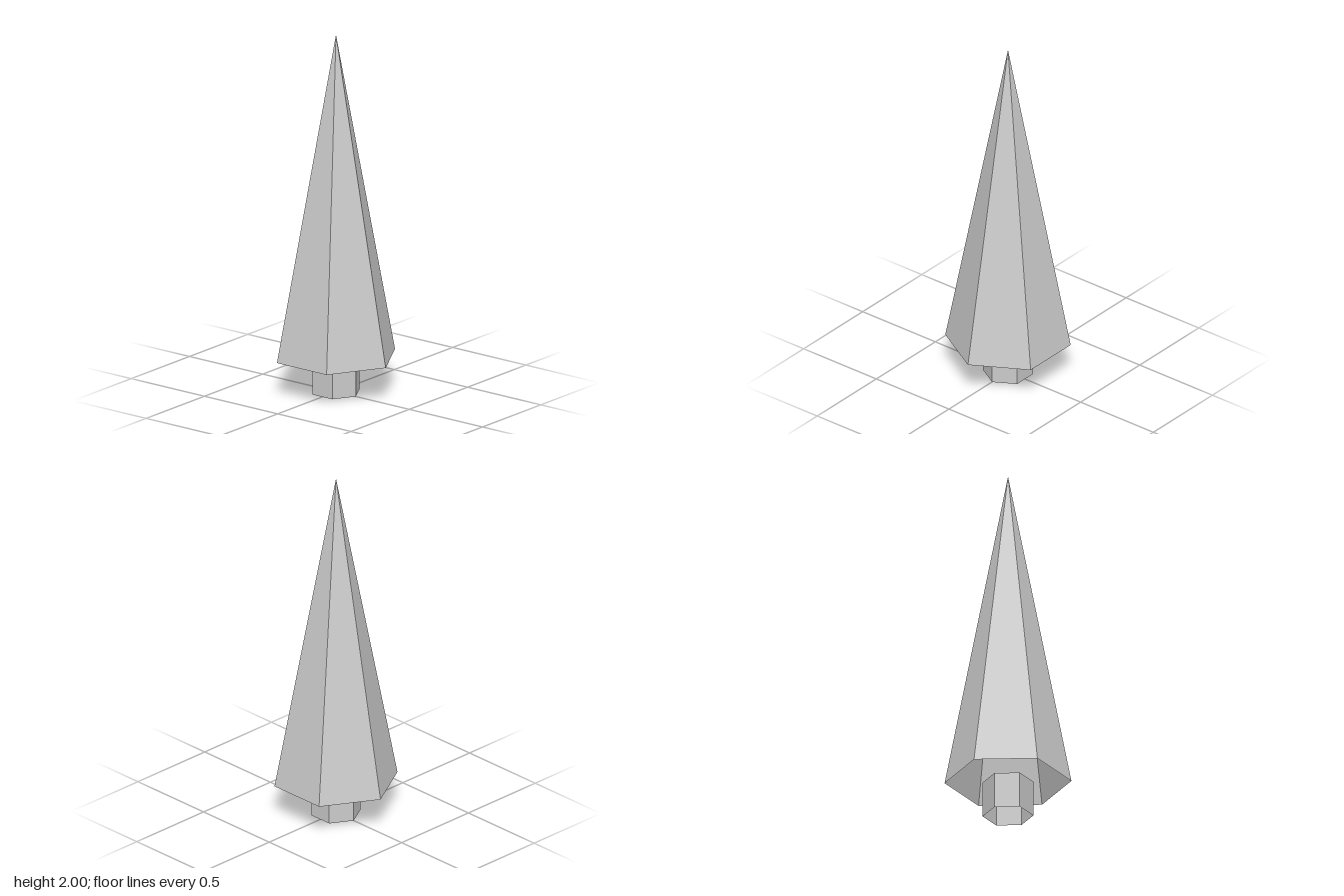
import * as THREE from 'three';

export function createModel() {
  const tree = new THREE.Group();
  tree.name = 'coniferTree';
  const material = new THREE.MeshStandardMaterial({
    color: 0xcccccc, flatShading: true, side: THREE.DoubleSide,
  });
  const SIDES = 6;

  const addPart = (name, geometry, y) => {
    const mesh = new THREE.Mesh(geometry, material);
    mesh.name = name;
    mesh.position.y = y;
    tree.add(mesh);
  };

  // Trunk: short open six-sided tube
  addPart('trunk', new THREE.CylinderGeometry(0.135, 0.135, 0.2, SIDES, 1, true), 0.1);

  // Foliage: tall hollow six-sided cone, open underneath
  addPart('foliage', new THREE.ConeGeometry(0.339, 1.8, SIDES, 1, true), 1.1);

  return tree;
}
